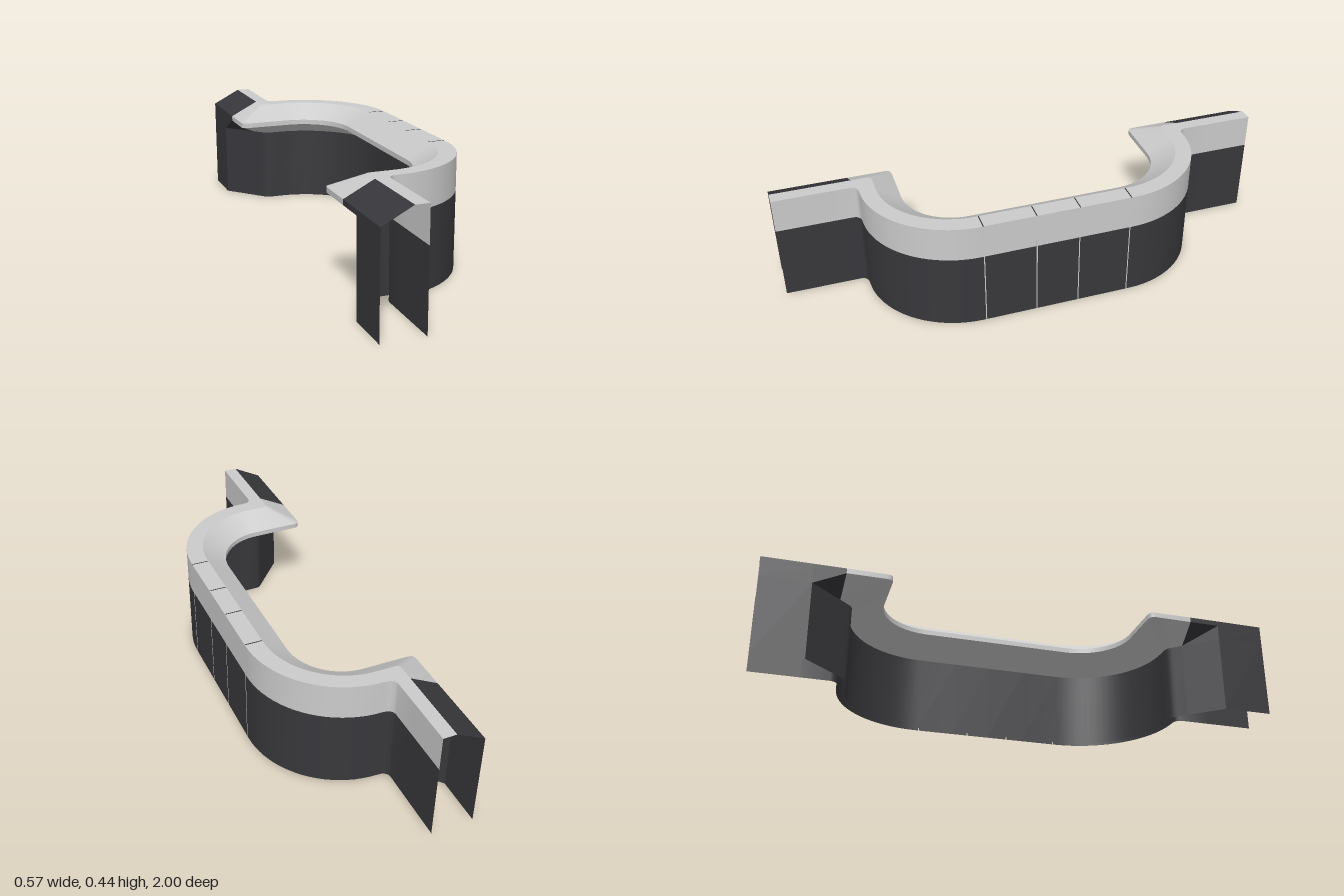
import * as THREE from 'three';
import { toCreasedNormals } from 'three/addons/utils/BufferGeometryUtils.js';

const light = new THREE.MeshStandardMaterial({ color: 0xcccccc, side: THREE.DoubleSide });
const dark = new THREE.MeshStandardMaterial({ color: 0x38383c, side: THREE.DoubleSide });

// Plan stations over half the run: [outer wall, top ridge, lip edge, inner wall], each [x, z]
function halfStations() {
  const list = [];
  // straight middle
  for (const z of [0, 0.15]) list.push([[0.283, z], [0.215, z], [0.123, z], [0.253, z]]);
  // rounded bend
  const radii = [[0.363, 0.373], [0.295, 0.31], [0.203, 0.215], [0.333, 0.343]];
  for (let i = 0; i <= 20; i++) {
    const t = (i / 20) * Math.PI / 2;
    list.push(radii.map(([rx, rz]) => [-0.08 + rx * Math.cos(t), 0.3 + rz * Math.sin(t)]));
  }
  // small filleted corner into the end post
  list.push(
    [[-0.092, 0.674], [-0.16, 0.611], [-0.262, 0.515], [-0.13, 0.644]],
    [[-0.103, 0.676], [-0.166, 0.613], [-0.275, 0.518], [-0.142, 0.648]],
    [[-0.111, 0.682], [-0.17, 0.618], [-0.282, 0.525], [-0.15, 0.655]],
    [[-0.117, 0.689], [-0.172, 0.626], [-0.285, 0.538], [-0.158, 0.664]],
    [[-0.12, 0.7], [-0.172, 0.69], [-0.285, 0.69], [-0.185, 0.695]]
  );
  // hollow end post
  for (const z of [0.81, 1]) list.push([[-0.12, z], [-0.172, z], [-0.285, z], [-0.285, z]]);
  return list;
}

// Cross-section as [plan line index, height]
const profile = [[0, 0], [0, 0.303], [0, 0.44], [1, 0.44], [2, 0.382], [2, 0.362], [3, 0.303], [3, 0]];

// Surface between two neighbouring profile points over a run of stations
function strip(stations, k) {
  const pos = [], index = [];
  stations.forEach((s, i) => {
    for (const [line, y] of [profile[k], profile[k + 1]]) pos.push(s[line][0], y, s[line][1]);
    if (i) {
      const a = 2 * i - 2;
      index.push(a, a + 1, a + 2, a + 1, a + 3, a + 2);
    }
  });
  const g = new THREE.BufferGeometry();
  g.setAttribute('position', new THREE.Float32BufferAttribute(pos, 3));
  g.setIndex(index);
  return toCreasedNormals(g, 0.6);
}

export function createModel() {
  const group = new THREE.Group();
  const add = (name, geometry, material) => {
    const mesh = new THREE.Mesh(geometry, material);
    mesh.name = name;
    group.add(mesh);
    return mesh;
  };

  const half = halfStations();
  const mirrored = half.slice(1).reverse().map(s => s.map(([x, z]) => [x, -z]));
  const all = [...mirrored, ...half];
  const n = all.length;
  const main = all.slice(2, n - 2);
  const posts = [all.slice(0, 3), all.slice(n - 3)];

  // walls and flat top run the whole length
  add('outerWallLower', strip(all, 0), dark);
  add('outerWallUpper', strip(all, 1), light);
  add('flatTop', strip(all, 2), light);
  add('innerWall', strip(all, 6), dark);

  // sloped ledge is light on the main run and dark on the end posts
  ['ledgeSlope', 'ledgeEdge', 'ledgeUnderside'].forEach((name, i) => {
    add(name, strip(main, 3 + i), light);
    for (const post of posts) add('post' + name[0].toUpperCase() + name.slice(1), strip(post, 3 + i), dark);
  });

  // thin panel seams on the straight middle
  for (const z of [-0.29, -0.085, 0.085, 0.29]) {
    add('wallSeam', new THREE.BoxGeometry(0.002, 0.33, 0.004), light).position.set(0.2825, 0.165, z);
    add('topSeam', new THREE.BoxGeometry(0.066, 0.002, 0.004), dark).position.set(0.249, 0.4395, z);
  }
  return group;
}
